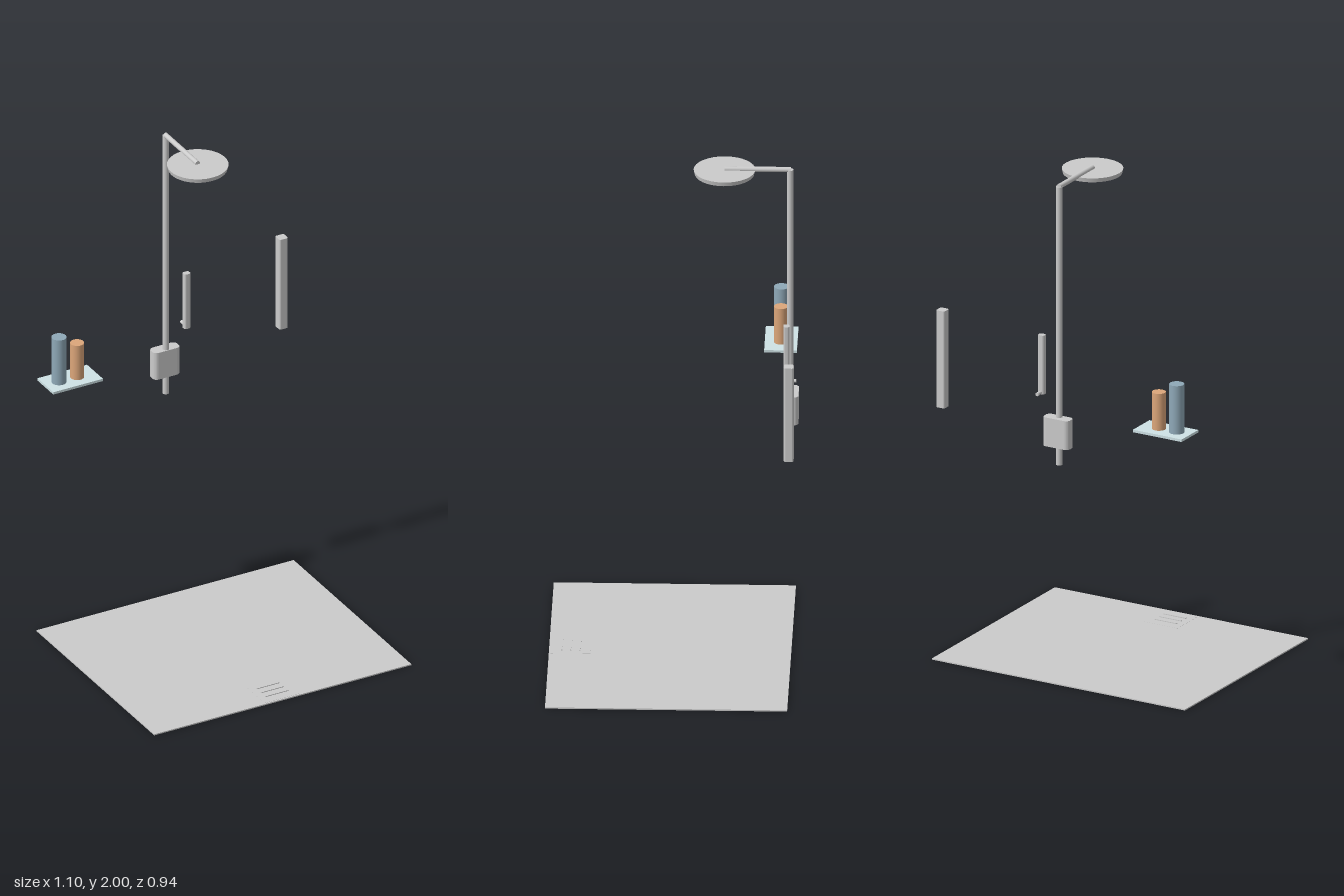
import * as THREE from 'three';

const grey = new THREE.MeshStandardMaterial({ color: 0xcccccc });
const glass = new THREE.MeshStandardMaterial({ color: 0xcfe3e6 });
const blue = new THREE.MeshStandardMaterial({ color: 0x8fa9b8 });
const orange = new THREE.MeshStandardMaterial({ color: 0xdca67a });

export function createModel() {
  const model = new THREE.Group();
  model.name = 'shower';

  const add = (name, geometry, x, y, z, material = grey) => {
    const mesh = new THREE.Mesh(geometry, material);
    mesh.name = name;
    mesh.position.set(x, y, z);
    model.add(mesh);
    return mesh;
  };
  const box = (name, w, h, d, x, y, z, material) =>
    add(name, new THREE.BoxGeometry(w, h, d), x, y, z, material);
  const cylinder = (name, r, h, x, y, z, material, rBottom = r) =>
    add(name, new THREE.CylinderGeometry(r, rBottom, h, 32), x, y, z, material);

  // Upright block with rounded vertical corners; y is its base
  const roundedBlock = (name, w, h, d, r, x, y, z) => {
    const s = new THREE.Shape();
    const a = w / 2 - r, b = d / 2 - r;
    s.absarc(a, b, r, 0, Math.PI / 2);
    s.absarc(-a, b, r, Math.PI / 2, Math.PI);
    s.absarc(-a, -b, r, Math.PI, Math.PI * 1.5);
    s.absarc(a, -b, r, Math.PI * 1.5, Math.PI * 2);
    s.closePath();
    const g = new THREE.ExtrudeGeometry(s, { depth: h, bevelEnabled: false, curveSegments: 6 });
    g.rotateX(-Math.PI / 2);
    return add(name, g, x, y, z);
  };

  // Floor tray with drain cover and slots
  box('tray', 1.104, 0.005, 0.91, 0, 0.0025, 0.013);
  box('drainCover', 0.15, 0.003, 0.15, 0, 0.004, 0.386);
  for (const z of [0.352, 0.386, 0.42]) box('drainSlot', 0.097, 0.004, 0.006, 0, 0.0065, z);

  // Riser, overhead arm and rain head
  const wallZ = -0.437;
  cylinder('riser', 0.0125, 1.11, 0, 1.435, wallZ);
  cylinder('arm', 0.01, 0.25, 0, 1.99, -0.315).rotation.x = Math.PI / 2;
  cylinder('showerHead', 0.116, 0.017, 0, 1.9785, -0.19, grey, 0.112);

  // Mixer body
  roundedBlock('mixer', 0.113, 0.115, 0.048, 0.018, 0, 0.955, -0.445);

  // Hand shower and its wall pin
  roundedBlock('handShower', 0.027, 0.235, 0.023, 0.008, 0.082, 1.145, -0.425);
  cylinder('handShowerPin', 0.007, 0.035, 0.082, 1.152, -0.4445).rotation.x = Math.PI / 2;

  // Tall grab bar
  roundedBlock('grabBar', 0.037, 0.387, 0.037, 0.007, 0.503, 1.022, -0.4465);

  // Shelf with two bottles
  box('shelf', 0.213, 0.01, 0.123, -0.4365, 1.079, -0.3905, glass);
  cylinder('tallBottle', 0.0285, 0.193, -0.485, 1.1805, -0.39, blue);
  cylinder('shortBottle', 0.0265, 0.147, -0.407, 1.1575, -0.39, orange);

  return model;
}
